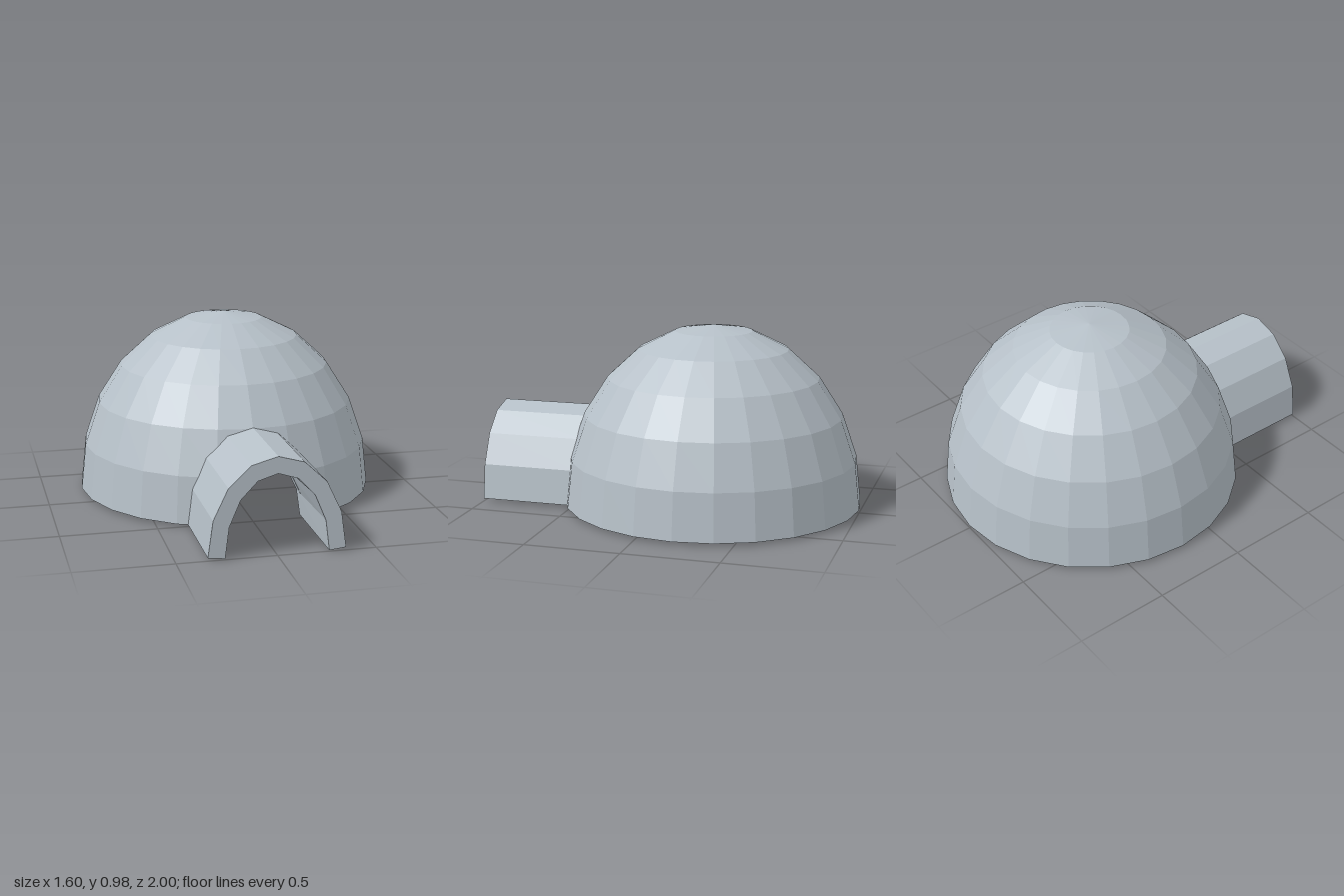
import * as THREE from 'three';

const DOME_Z = -0.2, BASE = 0.015, SIDES = 24;

// Half-ellipse arch in the xy plane, running from -x over the top to +x
function arch(halfWidth, height, foot, z) {
  return Array.from({ length: 9 }, (_, i) => {
    const a = Math.PI * (1 - i / 8);
    return new THREE.Vector3(halfWidth * Math.cos(a), foot + (height - foot) * Math.sin(a), z);
  });
}

// Flat-shaded geometry from a list of convex polygons
function fromPolygons(polygons) {
  const points = [];
  for (const p of polygons)
    for (let i = 1; i < p.length - 1; i++) points.push(p[0], p[i], p[i + 1]);
  const geometry = new THREE.BufferGeometry().setFromPoints(points);
  geometry.computeVertexNormals();
  return geometry;
}

// Split a convex polygon by the line a-b in xy: [left part, right part]
function split(polygon, a, b) {
  const side = p => (b.x - a.x) * (p.y - a.y) - (b.y - a.y) * (p.x - a.x);
  const left = [], right = [];
  polygon.forEach((p, i) => {
    const q = polygon[(i + 1) % polygon.length];
    const s = side(p), t = side(q);
    if (s >= 0) left.push(p);
    if (s <= 0) right.push(p);
    if (s * t < 0) {
      const m = p.clone().lerp(q, s / (s - t));
      left.push(m);
      right.push(m);
    }
  });
  return [left, right];
}

// Remove the doorway from a polygon, returning the pieces that stay
function cutDoor(polygon, door) {
  if (polygon.some(p => p.z < 0.2)) return [polygon];
  const kept = [];
  let rest = polygon;
  for (let i = 0; i < door.length - 1; i++) {
    const [outside, inside] = split(rest, door[i], door[i + 1]);
    if (outside.length > 2) kept.push(outside);
    rest = inside;
    if (rest.length < 3) return [polygon];
  }
  return kept;
}

// Thick hollow dome with the doorway cut through its wall
function domeGeometry(door) {
  const ring = (r, h, i) => {
    const a = (i * Math.PI) / 12;
    return new THREE.Vector2(r * Math.cos(a), BASE + h * Math.sin(a));
  };
  const profile = [];
  for (let i = 6; i > 0; i--) profile.push(ring(0.72, 0.88, i));
  profile.push(new THREE.Vector2(0.72, 0));
  for (let i = 0; i <= 6; i++) profile.push(ring(0.8, 0.96, i));
  const lathe = new THREE.LatheGeometry(profile, SIDES).translate(0, 0, DOME_Z).toNonIndexed();
  const pos = lathe.attributes.position;
  const polygons = [];
  for (let i = 0; i < pos.count; i += 3) {
    const tri = [0, 1, 2].map(k => new THREE.Vector3().fromBufferAttribute(pos, i + k));
    if (new THREE.Triangle(...tri).getArea() > 1e-7) polygons.push(...cutDoor(tri, door));
  }
  return fromPolygons(polygons);
}

// Arched tunnel: outer skin, back rim, inner skin and front rim, then the feet
function tunnelGeometry(door) {
  const outerFront = arch(0.345, 0.5, BASE, 1);
  const outerBack = arch(0.345, 0.5, BASE, 0.46);
  const innerFront = arch(0.26, 0.415, 0.005, 1);
  const loops = [outerFront, outerBack, door, innerFront];
  const polygons = [];
  loops.forEach((a, k) => {
    const b = loops[(k + 1) % 4];
    for (let i = 0; i < 8; i++) polygons.push([a[i], a[i + 1], b[i + 1], b[i]]);
  });
  polygons.push(loops.map(l => l[0]));
  polygons.push(loops.map(l => l[8]).reverse());
  return fromPolygons(polygons);
}

export function createModel() {
  const group = new THREE.Group();
  group.name = 'domeShelter';
  const ice = new THREE.MeshStandardMaterial({ color: 0xb6c0c8 });
  ice.name = 'paleGrey';

  const door = arch(0.26, 0.372, 0.005, 0.46);
  const parts = { dome: domeGeometry(door), entranceTunnel: tunnelGeometry(door) };
  for (const [name, geometry] of Object.entries(parts)) {
    const mesh = new THREE.Mesh(geometry, ice);
    mesh.name = name;
    group.add(mesh);
  }
  return group;
}
